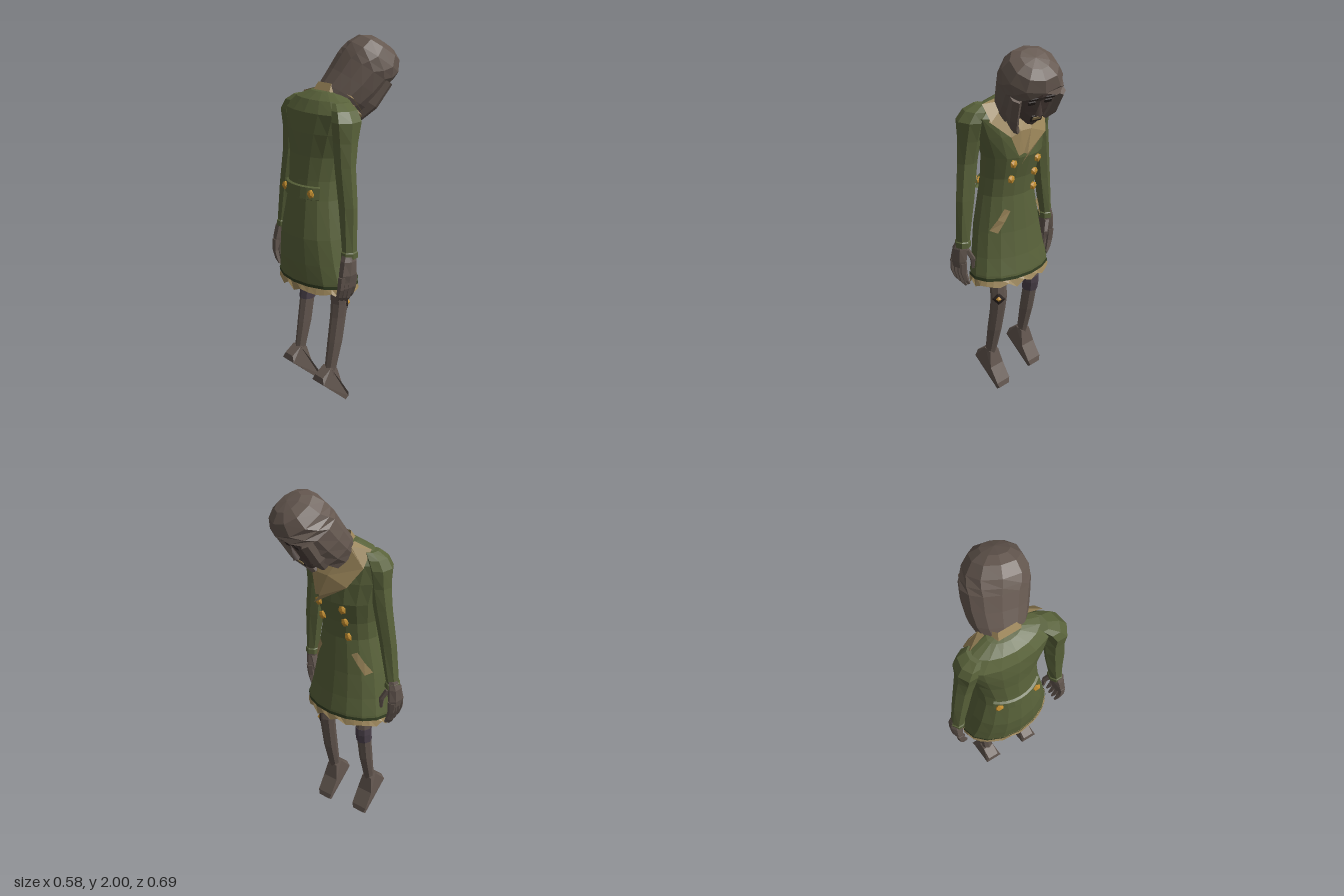
import * as THREE from 'three';

const V = (x, y, z) => new THREE.Vector3(x, y, z);
const mat = (name, color, side = THREE.FrontSide) => {
  const m = new THREE.MeshStandardMaterial({ color, side });
  m.name = name;
  return m;
};

// Faceted surface through rings of points listed from top to bottom
function loft(rings, closed = true, caps = true) {
  const out = [], tri = (...p) => p.forEach(v => out.push(v.x, v.y, v.z));
  const n = rings[0].length, last = closed ? n : n - 1;
  for (let i = 0; i < rings.length - 1; i++) for (let j = 0; j < last; j++) {
    const k = (j + 1) % n, a = rings[i], b = rings[i + 1];
    tri(a[j], a[k], b[j]);
    tri(a[k], b[k], b[j]);
  }
  if (closed && caps) [rings[0], rings[rings.length - 1]].forEach((r, e) => {
    const c = r.reduce((s, p) => s.add(p), V(0, 0, 0)).divideScalar(n);
    r.forEach((p, j) => e ? tri(c, p, r[(j + 1) % n]) : tri(c, r[(j + 1) % n], p));
  });
  const g = new THREE.BufferGeometry();
  g.setAttribute('position', new THREE.Float32BufferAttribute(out, 3));
  g.computeVertexNormals();
  return g;
}

// Horizontal ring; power below 1 squares it off, a0..a1 limits the arc
function ring(cx, y, cz, rx, rz, n = 7, power = 1, a0 = 0, a1 = Math.PI * 2, open = false) {
  const soft = v => Math.sign(v) * Math.abs(v) ** power;
  return Array.from({ length: n }, (_, i) => {
    const a = a0 + (a1 - a0) * i / (open ? n - 1 : n);
    return V(cx + rx * soft(Math.cos(a)), y, cz + rz * soft(Math.sin(a)));
  });
}
const limb = (rows, n = 7) => loft(rows.map(r => ring(...r, n)));

// Coat sections: y, back x, front x, min z, max z
const COAT = [
  [1.735, -0.13, -0.02, -0.07, 0.11], [1.70, -0.18, 0.0, -0.16, 0.2], [1.64, -0.215, 0.02, -0.23, 0.27],
  [1.54, -0.23, 0.04, -0.21, 0.235], [1.42, -0.235, 0.045, -0.18, 0.19], [1.3, -0.25, 0.012, -0.16, 0.175],
  [1.2, -0.265, 0.0, -0.16, 0.18], [1.0, -0.293, 0.015, -0.205, 0.215], [0.86, -0.293, 0.033, -0.23, 0.24],
  [0.765, -0.287, 0.05, -0.25, 0.262], [0.74, -0.285, 0.052, -0.253, 0.265]];
function coatAt(y) {
  let i = 0;
  while (i < COAT.length - 2 && COAT[i + 1][0] > y) i++;
  const a = COAT[i], b = COAT[i + 1], t = (a[0] - y) / (a[0] - b[0]);
  const [, x0, x1, z0, z1] = a.map((v, k) => v + (b[k] - v) * t);
  return { cx: (x0 + x1) / 2, cz: (z0 + z1) / 2, rx: (x1 - x0) / 2, rz: (z1 - z0) / 2 };
}
const coatRing = (y, grow = 0, n = 16, ...arc) => {
  const s = coatAt(y);
  return ring(s.cx, y, s.cz, s.rx + grow, s.rz + grow, n, 1, ...arc);
};
const coatX = (y, z, side = 1) => {
  const s = coatAt(y), d = Math.min(1, Math.abs((z - s.cz) / s.rz));
  return s.cx + side * s.rx * Math.sqrt(1 - d * d);
};

export function createModel() {
  const model = new THREE.Group();
  model.name = 'slumpedFigure';
  const coatGreen = mat('coat green', 0x59623a, THREE.DoubleSide);
  const darkGreen = mat('dark green trim', 0x333e22, THREE.DoubleSide);
  const beige = mat('beige lining', 0x9c865a, THREE.DoubleSide);
  const hairBrown = mat('hair brown', 0x64574f, THREE.DoubleSide);
  const skin = mat('skin brown', 0x61554e, THREE.DoubleSide);
  const faceBrown = mat('face brown', 0x4c3f3a);
  const dark = mat('dark features', 0x2a2220);
  const gold = mat('gold', 0xc28d2f);
  const wrap = mat('knee wrap', 0x4b414b);
  const add = (name, geo, m, parent = model) => {
    const o = new THREE.Mesh(geo, m);
    o.name = name;
    parent.add(o);
    return o;
  };

  // Coat shell, dark hem and ragged lining
  add('coat', loft([ring(-0.075, 1.74, 0.02, 0.02, 0.03, 16), ...COAT.map(r => coatRing(r[0]))], true, false), coatGreen);
  add('hemTrim', loft([coatRing(0.755, 0.004), coatRing(0.738, 0.004)], true, false), darkGreen);
  const ragged = coatRing(0.74, 0.004, 32);
  ragged.forEach((p, i) => { p.y = 0.698 + 0.014 * (i % 2) + 0.01 * Math.sin(i * 2.3); });
  add('hemLining', loft([coatRing(1.1, -0.02, 32), coatRing(0.86, -0.016, 32), coatRing(0.74, -0.01, 32), ragged], true, false), beige);

  // Collar, lapels and shirt front
  const inner = [V(0.06, 1.45, 0.07), V(0.055, 1.57, 0.085), V(-0.01, 1.7, 0.12), V(-0.085, 1.775, 0.08),
    V(-0.085, 1.775, -0.02), V(-0.01, 1.735, -0.07), V(0.06, 1.57, 0.015), V(0.078, 1.45, 0.06)];
  const outer = [V(0.055, 1.44, 0.1), V(0.035, 1.54, 0.135), V(-0.02, 1.63, 0.235), V(-0.108, 1.738, 0.09),
    V(-0.108, 1.738, -0.03), V(-0.005, 1.63, -0.16), V(0.052, 1.53, -0.1), V(0.072, 1.4, 0.1)];
  add('collar', loft([inner, outer], false), beige);
  [[-0.16, -0.07], [0.235, 0.12]].forEach(([far, near]) => add('collarWing', loft([
    [V(-0.05, 1.74, near), V(-0.005, 1.725, near)], [V(-0.07, 1.712, far), V(-0.005, 1.63, far)]], false), beige));
  add('shirtFront', loft([[inner[2], inner[1], inner[0]], [inner[5], inner[6], inner[7]]], false), beige);

  // Buttons, pocket flaps and back belt
  const button = (x, y, z) => {
    const b = add('button', new THREE.IcosahedronGeometry(0.025, 0), gold);
    b.position.set(x, y, z);
    b.scale.x = 0.6;
  };
  [[1.39, 0.105], [1.3, 0.1], [1.39, -0.06], [1.31, -0.06], [1.22, -0.07]]
    .forEach(([y, z]) => button(coatX(y, z) + 0.008, y, z));
  [[0.12, 0.185], [-0.105, -0.175]].forEach(([zTop, zLow]) => {
    const rows = [[1.13, zTop], [1.07, (zTop + zLow) / 2], [1.01, zLow]];
    add('pocketFlap', loft(rows.map(([y, z]) =>
      [0.014, -0.014].map(d => V(coatX(y, z + d) + 0.012, y + d * Math.sign(zTop) * 0.5, z + d))), false), beige);
  });
  const arc = [Math.PI - 0.85, Math.PI + 0.85, true];
  add('backBelt', loft([coatRing(1.275, 0.002, 9, ...arc), coatRing(1.27, 0.014, 9, ...arc),
    coatRing(1.21, 0.014, 9, ...arc), coatRing(1.205, 0.002, 9, ...arc)], false), coatGreen);
  [-0.105, 0.11].forEach(z => button(coatX(1.24, z, -1) - 0.02, 1.24, z));

  // Sleeves
  add('leftSleeve', limb([[-0.12, 1.7, 0.19, 0.05, 0.03], [-0.13, 1.67, 0.23, 0.075, 0.05], [-0.14, 1.62, 0.255, 0.085, 0.063],
    [-0.15, 1.52, 0.257, 0.065, 0.06], [-0.16, 1.4, 0.265, 0.052, 0.057], [-0.16, 1.2, 0.287, 0.045, 0.054],
    [-0.165, 0.97, 0.307, 0.04, 0.036], [-0.165, 0.965, 0.307, 0.046, 0.041], [-0.165, 0.935, 0.307, 0.046, 0.041]]), coatGreen);
  add('rightSleeve', limb([[-0.09, 1.7, -0.15, 0.05, 0.03], [-0.095, 1.67, -0.18, 0.07, 0.05], [-0.1, 1.62, -0.203, 0.078, 0.055],
    [-0.1, 1.52, -0.205, 0.062, 0.054], [-0.1, 1.4, -0.222, 0.052, 0.052], [-0.11, 1.2, -0.255, 0.045, 0.047],
    [-0.115, 0.98, -0.288, 0.04, 0.034], [-0.115, 0.975, -0.288, 0.046, 0.04], [-0.115, 0.945, -0.288, 0.046, 0.04]]), coatGreen);

  // Hands with curled fingers; s points outward
  function hand(name, x, y, z, s) {
    const h = new THREE.Group();
    h.name = name;
    h.position.set(x, y, z);
    model.add(h);
    add('palm', limb([[0.01, 0.03, 0, 0.03, 0.027], [0, -0.02, s * 0.01, 0.046, 0.036],
      [-0.008, -0.09, s * 0.015, 0.055, 0.034], [-0.01, -0.13, s * 0.012, 0.052, 0.028]]), skin, h);
    [-0.05, -0.022, 0.006, 0.031].forEach((fx, i) => add('finger', limb([
      [fx, -0.1, s * 0.016, 0.017, 0.022], [fx - 0.005, -0.165, s * 0.012, 0.016, 0.021],
      [fx - 0.003, -0.212 - 0.008 * (i % 3), -s * 0.003, 0.014, 0.017],
      [fx, -0.238 - 0.008 * (i % 3), -s * 0.018, 0.008, 0.009]], 5), skin, h));
    add('thumb', limb([[0.025, -0.03, -s * 0.012, 0.018, 0.018], [0.042, -0.09, -s * 0.042, 0.016, 0.016],
      [0.035, -0.15, -s * 0.048, 0.008, 0.009]], 5), skin, h);
  }
  hand('leftHand', -0.178, 0.945, 0.306, 1);
  hand('rightHand', -0.115, 0.965, -0.291, -1);

  // Legs with hanging feet
  function leg(name, z, lift, w) {
    const g = new THREE.Group();
    g.name = name;
    g.position.set(0, lift, z);
    model.add(g);
    add('shin', limb([[-0.09, 0.85, 0, 0.055, w], [-0.085, 0.7, 0, 0.048, w], [-0.075, 0.6, 0, 0.046, w],
      [-0.085, 0.52, 0, 0.043, w * 0.92], [-0.11, 0.38, 0.003, 0.042, w * 0.85],
      [-0.14, 0.24, 0.003, 0.032, w * 0.72], [-0.155, 0.17, 0.003, 0.03, w * 0.7]], 8), skin, g);
    const side = new THREE.Shape([[-0.232, 0.16], [-0.06, 0.0], [-0.04, 0.015], [-0.047, 0.045], [-0.1, 0.13],
      [-0.12, 0.22], [-0.165, 0.235], [-0.225, 0.195]].map(p => new THREE.Vector2(...p)));
    const foot = new THREE.ExtrudeGeometry(side, { depth: 1, bevelEnabled: false });
    const p = foot.attributes.position;
    for (let i = 0; i < p.count; i++) p.setZ(i, (p.getZ(i) - 0.5) * (p.getY(i) > 0.18 ? 0.064 : p.getY(i) < 0.03 ? 0.078 : 0.098));
    foot.computeVertexNormals();
    add('foot', foot, skin, g);
    return g;
  }
  const leftLeg = leg('leftLeg', 0.132, 0, 0.047);
  const rightLeg = leg('rightLeg', -0.13, 0.03, 0.042);

  // Left knee patch and right knee wrap
  const patch = new THREE.Group();
  patch.name = 'kneePatch';
  patch.position.set(-0.045, 0.6, 0.03);
  patch.rotation.y = -0.8;
  leftLeg.add(patch);
  add('patchRim', new THREE.OctahedronGeometry(0.038, 0), dark, patch).scale.x = 0.25;
  add('patchCentre', new THREE.OctahedronGeometry(0.025, 0), gold, patch).scale.x = 0.65;
  add('kneeWrap', limb([[-0.077, 0.61, 0, 0.049, 0.045], [-0.077, 0.57, 0, 0.049, 0.045], [-0.085, 0.515, 0, 0.047, 0.042]], 8), wrap, rightLeg);

  // Neck
  add('neck', limb([[0.08, 1.76, 0.08, 0.06, 0.055], [0.02, 1.68, 0.05, 0.055, 0.05], [-0.04, 1.58, 0.03, 0.06, 0.055]]), skin);

  // Bowed head, facing local +x
  const head = new THREE.Group();
  head.name = 'head';
  head.position.set(0.13, 1.786, 0.09);
  head.rotation.set(0.08, -0.27, -0.58, 'YZX');
  model.add(head);
  const faceRing = (y, back, front, w) => ring((back + front) / 2, y, 0, (front - back) / 2, w, 10, 0.85);
  add('face', loft([faceRing(0.12, -0.1, 0.085, 0.1), faceRing(0.05, -0.11, 0.096, 0.112), faceRing(0.02, -0.11, 0.087, 0.11),
    faceRing(-0.05, -0.1, 0.093, 0.1), faceRing(-0.11, -0.08, 0.098, 0.07), faceRing(-0.15, -0.04, 0.085, 0.038)]), faceBrown, head);
  const nose = add('nose', new THREE.ConeGeometry(0.022, 0.075, 4), faceBrown, head);
  nose.position.set(0.1, -0.018, 0);
  nose.rotation.z = 0.2;
  const plate = (name, x, y, z, h, w, m) => add(name, new THREE.BoxGeometry(0.008, h, w), m, head).position.set(x, y, z);
  [-1, 1].forEach(s => {
    plate('eye', 0.087, 0.014, s * 0.045, 0.018, 0.036, dark);
    plate('brow', 0.093, 0.046, s * 0.045, 0.01, 0.046, dark);
  });
  plate('mouth', 0.097, -0.088, 0, 0.036, 0.06, dark);
  plate('teeth', 0.1, -0.084, 0, 0.018, 0.046, beige);

  // Hair: closed crown leaning to the left, opening around the face
  const hairRing = ([y, back, front, w, gap, lean]) =>
    ring((back + front) / 2, y, lean, (front - back) / 2, w, 11, 0.9, gap, Math.PI * 2 - gap, true);
  add('hair', loft([[0.2, -0.026, -0.024, 0.001, 0, 0.015], [0.192, -0.1, 0.045, 0.07, 0, 0.015], [0.165, -0.145, 0.095, 0.118, 0, 0.013],
    [0.11, -0.172, 0.122, 0.15, 0, 0.01], [0.068, -0.177, 0.12, 0.163, 0.4, 0.005], [0.035, -0.177, 0.112, 0.166, 0.78, 0],
    [-0.05, -0.175, 0.105, 0.16, 0.85, -0.004], [-0.13, -0.178, 0.09, 0.145, 0.95, -0.004],
    [-0.2, -0.178, 0.06, 0.115, 1.1, 0]].map(hairRing), false), hairBrown, head);

  // Locks hanging beside the face
  add('leftLock', limb([[0.045, 0.04, 0.12, 0.05, 0.03], [0.045, -0.1, 0.105, 0.055, 0.03],
    [0.035, -0.18, 0.08, 0.045, 0.027], [0.045, -0.218, 0.06, 0.03, 0.02]], 6), hairBrown, head);
  add('rightLock', limb([[0.045, 0.04, -0.12, 0.05, 0.03], [0.045, -0.08, -0.112, 0.048, 0.028],
    [0.045, -0.15, -0.09, 0.02, 0.014]], 6), hairBrown, head);
  return model;
}
